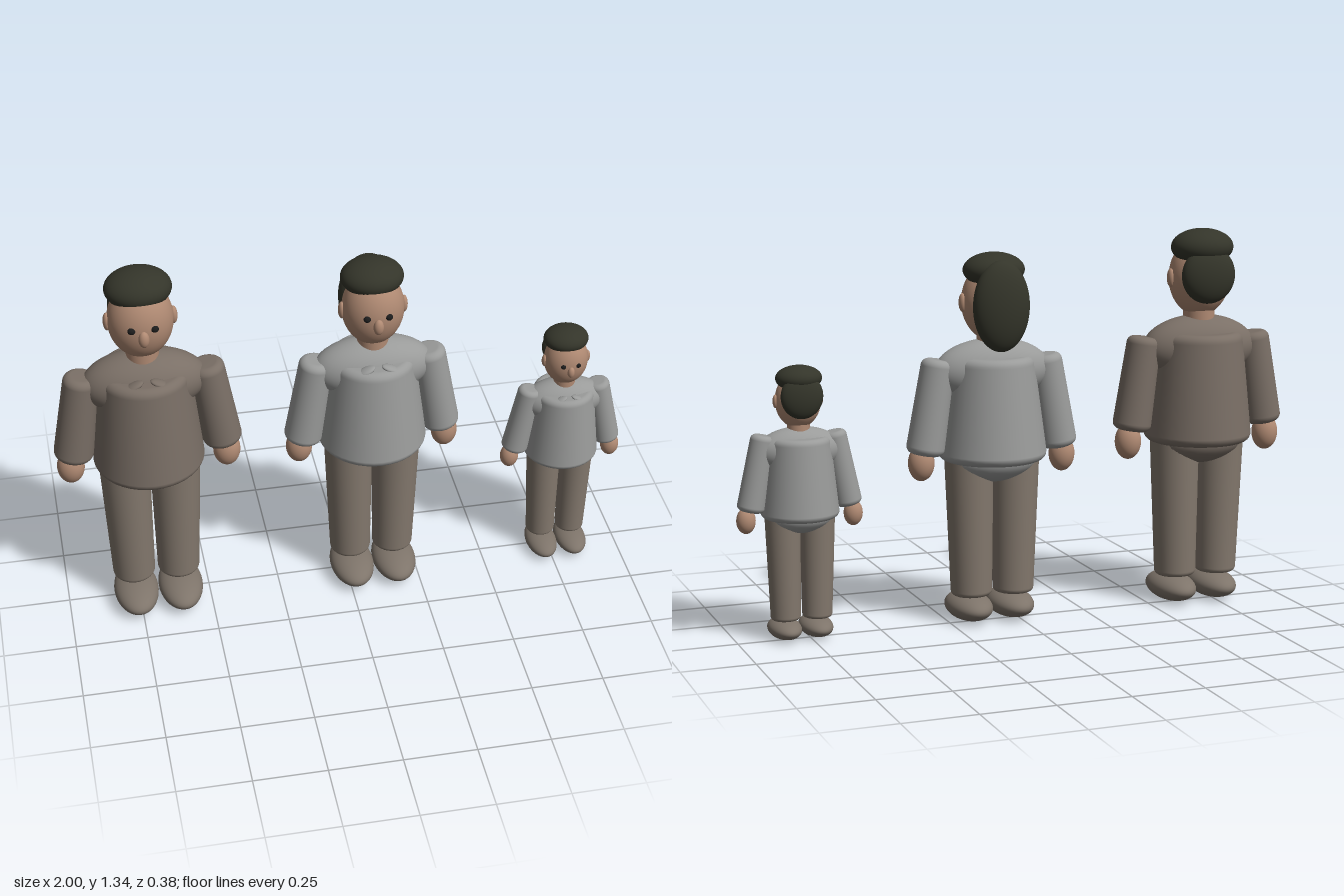
import * as THREE from 'three';

const mat = (name, color) => {
  const m = new THREE.MeshStandardMaterial({ color });
  m.name = name;
  return m;
};

const ball = new THREE.SphereGeometry(1, 40, 28);

// ellipsoid from centre and radii
function ellipsoid(name, material, pos, radii) {
  const m = new THREE.Mesh(ball, material);
  m.name = name;
  m.position.set(...pos);
  m.scale.set(...radii);
  return m;
}

// tapered column with rounded rims, running from point a (bottom) to b (top)
function column(name, material, a, b, rBottom, rTop, bevel) {
  const from = new THREE.Vector3(...a), dir = new THREE.Vector3(...b).sub(from);
  const h = dir.length(), pts = [new THREE.Vector2(0, 0)];
  for (let i = 0; i <= 6; i++) {
    const t = (i / 6) * Math.PI / 2;
    pts.push(new THREE.Vector2(rBottom - bevel + bevel * Math.sin(t), bevel - bevel * Math.cos(t)));
  }
  for (let i = 0; i <= 6; i++) {
    const t = (i / 6) * Math.PI / 2;
    pts.push(new THREE.Vector2(rTop - bevel + bevel * Math.cos(t), h - bevel + bevel * Math.sin(t)));
  }
  pts.push(new THREE.Vector2(0, h));
  const m = new THREE.Mesh(new THREE.LatheGeometry(pts, 40), material);
  m.name = name;
  m.position.copy(from);
  m.quaternion.setFromUnitVectors(new THREE.Vector3(0, 1, 0), dir.normalize());
  return m;
}

function person(p, c) {
  const g = new THREE.Group();
  g.name = p.name;
  g.position.x = p.x;
  const s = p.s, hy = p.headY, [hx, hh, hz] = p.head;

  // head, neck and hair
  g.add(ellipsoid('head', c.skin, [0, hy, 0], p.head));
  g.add(column('neck', c.skin, [0, p.shoulderY, 0], [0, hy - hh * 0.6, 0], 0.055 * s, 0.055 * s, 0.005));
  g.add(ellipsoid('nose', c.skin, [0, hy - 0.02 * s, hz], [0.018 * s, 0.03 * s, 0.017 * s]));
  g.add(ellipsoid('hairCap', c.hair, [0, p.capY, -0.02 * s], p.cap));
  g.add(ellipsoid('backHair', c.hair, p.backHair[0], p.backHair[1]));

  // torso
  g.add(column('trunk', p.shirt, [0, p.trunk[0], 0], [0, p.trunk[1], 0], p.trunk[2], p.trunk[3], 0.03 * s));
  g.add(ellipsoid('shoulders', p.shirt, [0, p.shoulderY, 0], p.shoulders));
  g.add(ellipsoid('pelvis', p.shirt, [0, p.trunk[0] + 0.005, 0], [0.165 * s, 0.085 * s, 0.125 * s]));

  // paired parts
  for (const side of [1, -1]) {
    const q = side > 0 ? 'left' : 'right';
    g.add(ellipsoid(q + 'Eye', c.eye, [side * 0.038 * s, hy + 0.012 * s, hz * 0.92], [0.013 * s, 0.012 * s, 0.011 * s]));
    g.add(ellipsoid(q + 'Ear', c.skin, [side * hx, hy, 0], [0.013 * s, 0.033 * s, 0.018 * s]));
    const collar = ellipsoid(q + 'Collar', p.shirt, [side * 0.045 * s, p.trunk[1] - 0.004, 0.105 * s], [0.036 * s, 0.011 * s, 0.022 * s]);
    collar.rotation.z = -side * 0.4;
    g.add(collar);

    const [top, bottom] = p.arm;
    g.add(column(q + 'Sleeve', p.shirt, [side * bottom[0], bottom[1], 0], [side * top[0], top[1], 0], 0.068 * s, 0.06 * s, 0.026 * s));
    g.add(ellipsoid(q + 'Hand', c.skin, [side * p.hand[0], p.hand[1], 0], [0.047 * s, 0.064 * s, 0.044 * s]));

    g.add(column(q + 'Leg', c.trousers, [side * 0.079 * s, p.legY, 0.003], [side * 0.087 * s, p.trunk[0] + 0.02, 0.003], 0.074 * s, 0.087 * s, 0.018 * s));
    g.add(ellipsoid(q + 'Shoe', c.shoe, [side * 0.079 * s, p.shoe[1], 0.035 * s], p.shoe));
  }
  return g;
}

export function createModel() {
  const c = {
    skin: mat('skin', 0xb08a73),
    hair: mat('hair', 0x34352a),
    eye: mat('eye', 0x1c1c1c),
    trousers: mat('trousers', 0x83786d),
    shoe: mat('shoe', 0x7e746a),
  };
  const brown = mat('brownShirt', 0x7a6f66), grey = mat('greyShirt', 0x9a9b9a);

  const family = [
    {
      name: 'man', x: -0.684, s: 1, shirt: brown,
      headY: 1.168, head: [0.11, 0.138, 0.1],
      capY: 1.275, cap: [0.112, 0.065, 0.096],
      backHair: [[0, 1.18, -0.075], [0.1, 0.1, 0.048]],
      trunk: [0.585, 0.975, 0.19, 0.157], shoulderY: 0.92, shoulders: [0.212, 0.115, 0.11],
      arm: [[0.208, 0.965], [0.257, 0.635]], hand: [0.268, 0.597],
      legY: 0.1, shoe: [0.078, 0.049, 0.138],
    },
    {
      name: 'woman', x: 0.093, s: 0.97, shirt: grey,
      headY: 1.115, head: [0.106, 0.134, 0.098],
      capY: 1.225, cap: [0.107, 0.06, 0.093],
      backHair: [[0, 1.108, -0.095], [0.1, 0.155, 0.055]],
      trunk: [0.57, 0.93, 0.187, 0.147], shoulderY: 0.88, shoulders: [0.208, 0.11, 0.1],
      arm: [[0.192, 0.925], [0.245, 0.6]], hand: [0.257, 0.572],
      legY: 0.095, shoe: [0.077, 0.048, 0.132],
    },
    {
      name: 'child', x: 0.778, s: 0.69, shirt: grey,
      headY: 0.816, head: [0.077, 0.094, 0.07],
      capY: 0.892, cap: [0.078, 0.043, 0.069],
      backHair: [[0, 0.836, -0.053], [0.072, 0.076, 0.032]],
      trunk: [0.42, 0.695, 0.132, 0.107], shoulderY: 0.648, shoulders: [0.146, 0.079, 0.075],
      arm: [[0.12, 0.705], [0.17, 0.45]], hand: [0.185, 0.42],
      legY: 0.07, shoe: [0.055, 0.034, 0.1],
    },
  ];

  const model = new THREE.Group();
  model.name = 'family';
  for (const p of family) model.add(person(p, c));
  return model;
}
